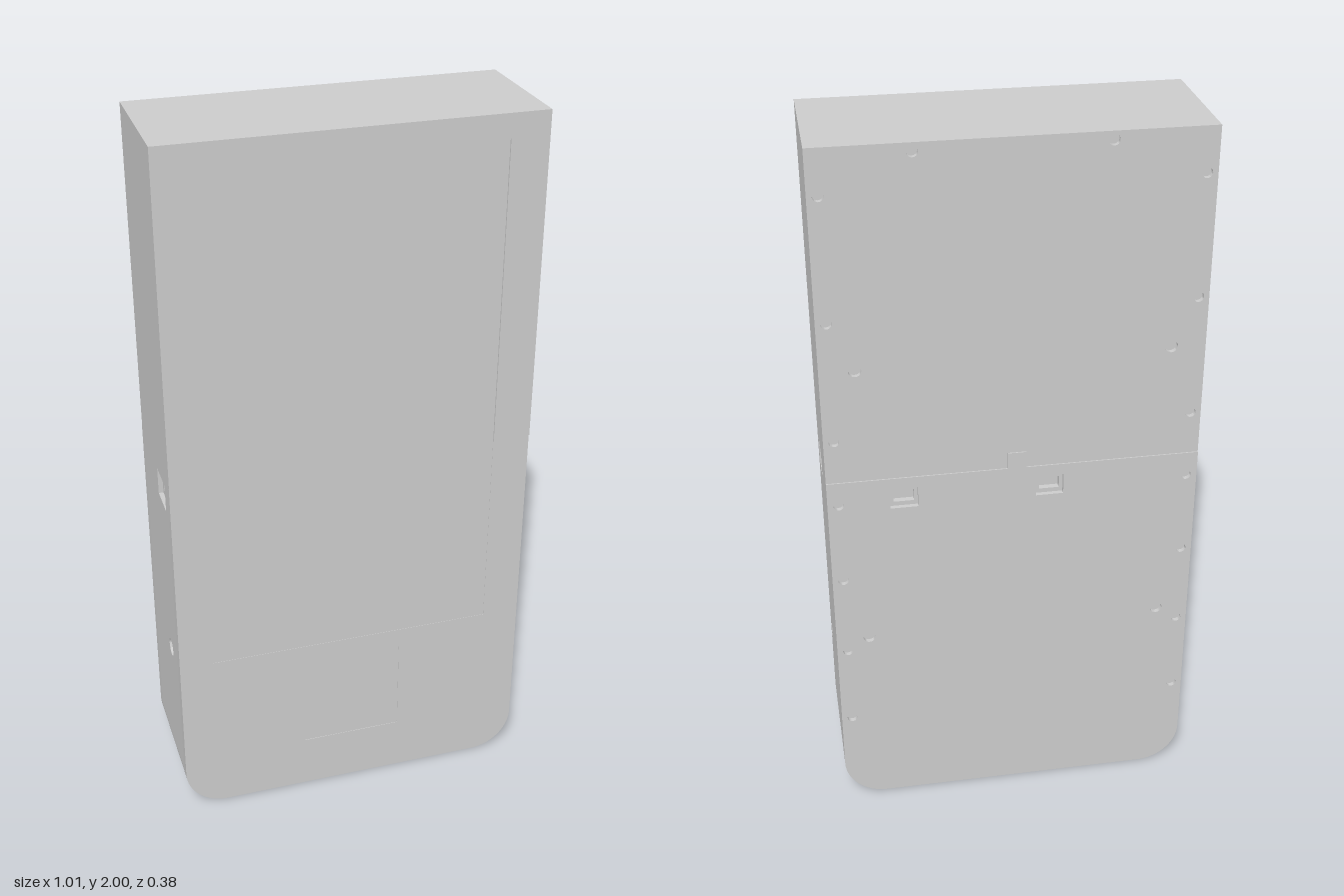
import * as THREE from 'three';
import { toCreasedNormals } from 'three/addons/utils/BufferGeometryUtils.js';

const W = 0.505, H = 2, D = 0.187, R = 0.12; // half width, height, half depth, corner radius
const T = 0.03, SKIN = 0.013;                // wall thickness, outer skin with counterbores
const SEAM = 1.084, STEP = 0.0035;           // split between halves and their offset in z
const grey = new THREE.MeshStandardMaterial({ color: 0xcccccc });

const rect = (x0, y0, x1, y1, C = THREE.Path) =>
  new C([[x0, y0], [x1, y0], [x1, y1], [x0, y1]].map(p => new THREE.Vector2(...p)));
const rectAt = (x, y, w, h) => rect(x - w / 2, y - h / 2, x + w / 2, y + h / 2);
const circle = (x, y, r) => new THREE.Path().absarc(x, y, r, 0, Math.PI * 2);
const slot = (x, y, len, w) => {
  const a = len / 2 - w / 2;
  return new THREE.Path().absarc(x + a, y, w / 2, -Math.PI / 2, Math.PI / 2)
    .absarc(x - a, y, w / 2, Math.PI / 2, Math.PI * 1.5).closePath();
};

function solid(shape, depth, holes = []) {
  shape.holes = holes;
  return new THREE.ExtrudeGeometry(shape, { depth, bevelEnabled: false, curveSegments: 16 });
}
function add(group, name, geometry) {
  const mesh = new THREE.Mesh(toCreasedNormals(geometry, 0.5), grey);
  mesh.name = name;
  group.add(mesh);
}
function addBox(group, name, x0, x1, y0, y1, z0, z1) {
  add(group, name, new THREE.BoxGeometry(x1 - x0, y1 - y0, z1 - z0)
    .translate((x0 + x1) / 2, (y0 + y1) / 2, (z0 + z1) / 2));
}

// Lower face outline with rounded bottom corners and an optional notch in its top edge
function lowerOutline(notch) {
  const s = new THREE.Shape();
  s.moveTo(-W, SEAM).lineTo(-W, R).absarc(-W + R, R, R, Math.PI, Math.PI * 1.5);
  s.absarc(W - R, R, R, Math.PI * 1.5, Math.PI * 2).lineTo(W, SEAM);
  if (notch) {
    const [x0, x1, y] = notch;
    s.lineTo(x1, SEAM).lineTo(x1, y).lineTo(x0, y).lineTo(x0, SEAM);
  }
  return s.closePath();
}

// Piece of the curved bottom corner between two angles, starting from a flat run
function cornerProfile(a0, a1, flatX) {
  const s = new THREE.Shape(), cx = W - R;
  if (flatX !== undefined) s.moveTo(flatX, T).lineTo(flatX, 0);
  s.absarc(cx, R, R, a0, a1).absarc(cx, R, R - T, a1, a0, true);
  return s.closePath();
}

export function createModel() {
  const model = new THREE.Group();
  const upper = new THREE.Group(), lower = new THREE.Group();
  upper.name = 'upperHousing';
  lower.name = 'lowerHousing';
  upper.position.z = STEP;
  model.add(upper, lower);
  const zi = D - T;
  const SX0 = -0.41, SX1 = 0.4, SY0 = 0.5, SY1 = 1.935; // screen opening

  // Front faces
  const frame = new THREE.Shape([
    [-W, SEAM], [SX0, SEAM], [SX0, SY1], [SX1, SY1], [SX1, SEAM], [W, SEAM], [W, H], [-W, H],
  ].map(p => new THREE.Vector2(...p)));
  add(upper, 'frontFrame', solid(frame, T).translate(0, 0, zi));
  add(lower, 'frontPanel', solid(lowerOutline([SX0, SX1, SY0]), T,
    [rect(-0.145, 0.16, 0.14, 0.44)]).translate(0, 0, zi));
  addBox(model, 'screen', SX0, SX1, SY0, SY1, zi, D - 0.001);
  addBox(model, 'keypadPlate', -0.145, 0.14, 0.16, 0.44, zi, D - 0.0015);

  // Back faces: outer skin with screw counterbores over an inner plate
  const upperHoles = [circle(0.25, 1.977, 0.014), circle(-0.24, 1.977, 0.014)];
  const lowerHoles = [];
  for (const s of [1, -1]) {
    for (const y of [1.88, 1.546, 1.208]) upperHoles.push(circle(s * 0.477, y, 0.014));
    for (const y of [1.015, 0.773, 0.531, 0.29]) lowerHoles.push(circle(s * 0.475, y, 0.014));
    upperHoles.push(circle(s * 0.413, 1.41, 0.017));
    lowerHoles.push(circle(s * 0.413, 0.573, 0.017));
  }
  const ports = [0.3, -0.095];
  const wide = ports.map(x => rectAt(x, 1.022, 0.075, 0.06));
  const narrow = ports.map(x => rectAt(x, 1.022, 0.055, 0.035));
  add(upper, 'backSkin', solid(rect(-W, SEAM, W, H, THREE.Shape), SKIN, upperHoles).translate(0, 0, -D));
  add(upper, 'backPlate', solid(rect(-W, SEAM, W, H, THREE.Shape), T - SKIN).translate(0, 0, -D + SKIN));
  add(lower, 'backSkin', solid(lowerOutline(), SKIN, [...lowerHoles, ...wide]).translate(0, 0, -D));
  add(lower, 'backPlate', solid(lowerOutline(), T - SKIN, narrow).translate(0, 0, -D + SKIN));
  for (const x of ports) addBox(lower, 'backSocket', x - 0.04, x + 0.04, 0.99, 1.05, -zi + 0.005, -zi + 0.02);
  addBox(lower, 'latchTab', -0.03, 0.02, SEAM, 1.131, -D, -D + 0.01);

  // Top and side walls of the upper half
  addBox(upper, 'topWall', -W, W, H - T, H, -zi, zi);
  for (const s of [1, -1]) {
    const a = s * W, b = s * (W - T);
    addBox(upper, 'sideWall', Math.min(a, b), Math.max(a, b), SEAM, H - T, -zi, zi);
  }

  // Lower side walls, with shape x running along -z
  for (const s of [1, -1]) {
    const outer = [rectAt(-0.075, 1.018, 0.1, 0.078)];
    const inner = [rectAt(-0.07, 1.02, 0.065, 0.045)];
    if (s > 0) outer.push(rectAt(-0.133, 0.372, 0.04, 0.036));
    else {
      outer.push(circle(-0.07, 0.495, 0.026));
      inner.push(circle(-0.07, 0.495, 0.022));
    }
    const wall = (name, x, depth, holes) => add(lower, name,
      solid(rect(-zi, R, zi, SEAM, THREE.Shape), depth, holes).rotateY(Math.PI / 2).translate(x, 0, 0));
    wall('sideSkin', s > 0 ? W - SKIN : -W, SKIN, outer);
    wall('sideWall', s > 0 ? W - T : -W + SKIN, T - SKIN, inner);
  }

  // Bottom wall with one rounded slot
  const ventX = 0.33, down = Math.PI * 1.5, ventEnd = down + 0.44;
  add(lower, 'bottomWall', solid(rect(-W + R, -zi, ventX, zi, THREE.Shape), T,
    [slot(-0.298, -0.105, 0.14, 0.034)]).rotateX(Math.PI / 2).translate(0, T, 0));

  // Rounded corners; the left one carries three vents
  const full = 2 * zi;
  add(lower, 'rightCorner', solid(cornerProfile(down, Math.PI * 2), full)
    .translate(0, 0, -zi).rotateY(Math.PI));
  add(lower, 'leftCorner', solid(cornerProfile(ventEnd, Math.PI * 2), full).translate(0, 0, -zi));
  let z = -zi;
  for (const vent of [0.04, 0.085, 0.13, zi + 0.012]) {
    const end = vent - 0.012;
    add(lower, 'ventRib', solid(cornerProfile(down, ventEnd, ventX), end - z).translate(0, 0, z));
    z = vent + 0.012;
  }
  return model;
}
